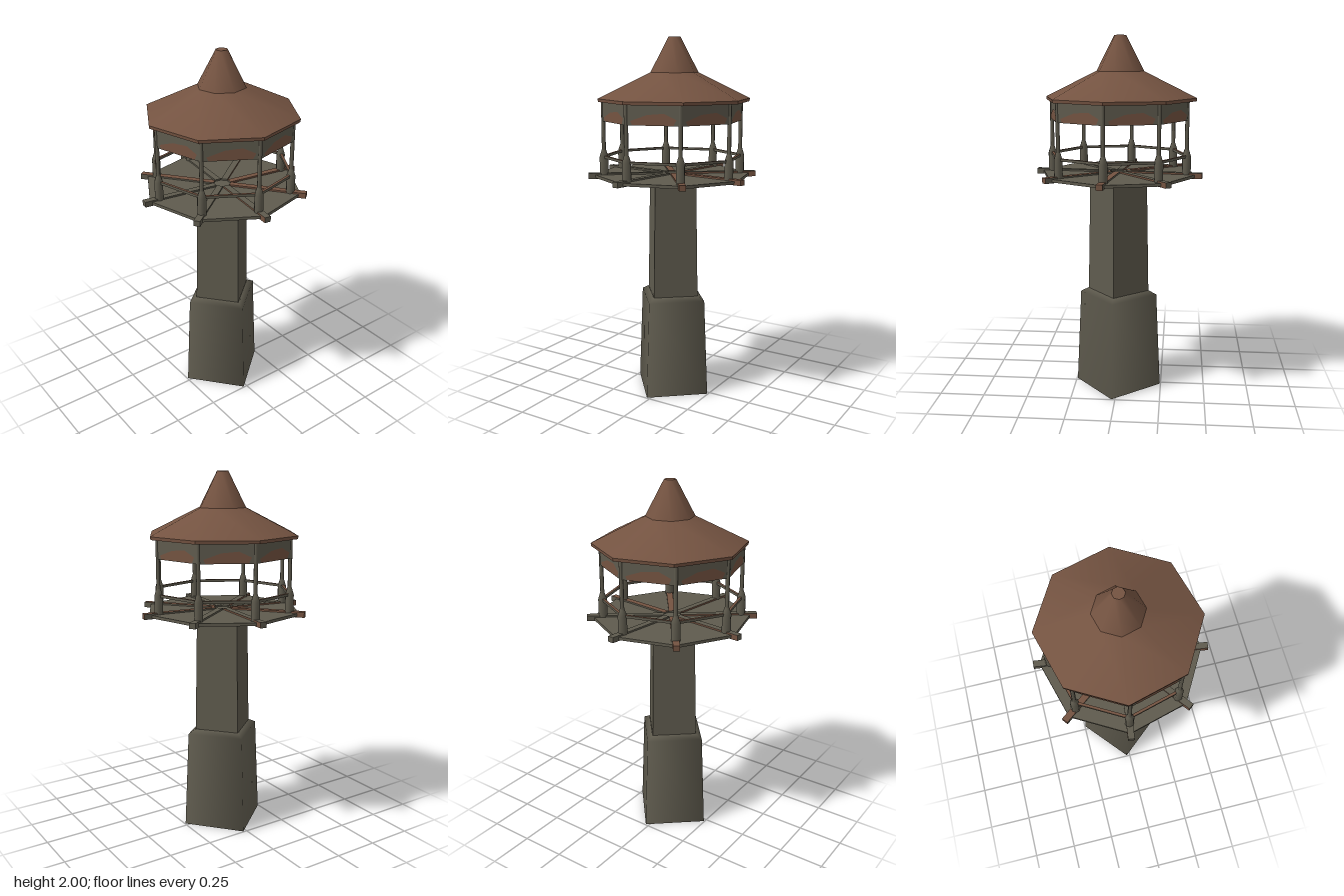
import * as THREE from 'three';

const rad = THREE.MathUtils.degToRad;
const OCT = rad(37.7);      // heading of the first octagon corner
const STEP = Math.PI / 4;

const stone = new THREE.MeshStandardMaterial({ color: 0x5f5b4e, side: THREE.DoubleSide });
stone.name = 'weathered grey';
const rust = new THREE.MeshStandardMaterial({ color: 0x745341, side: THREE.DoubleSide });
rust.name = 'rust brown';

function flat(geometry) {
  const g = geometry.toNonIndexed();
  g.computeVertexNormals();
  return g;
}

function lathe(points, sides, start) {
  return new THREE.LatheGeometry(points.map(p => new THREE.Vector2(...p)), sides, start);
}

function add(parent, name, geometry, material, x = 0, y = 0, z = 0) {
  const mesh = new THREE.Mesh(geometry, material);
  mesh.name = name;
  mesh.position.set(x, y, z);
  parent.add(mesh);
  return mesh;
}

export function createModel() {
  const model = new THREE.Group();
  model.name = 'lookoutTower';

  // Square tapered tower, open at the bottom
  const corner = rad(85.3);
  add(model, 'towerBase', lathe([[0.246, 0], [0.22, 0.55], [0.176, 0.573]], 4, corner), stone);
  add(model, 'towerShaft', flat(lathe([[0.174, 0.57], [0.16, 1.24]], 4, corner)), stone);

  // Octagonal deck
  const deck = new THREE.CylinderGeometry(0.435, 0.435, 0.016, 8, 1, false, OCT);
  add(model, 'deck', flat(deck), stone, 0, 1.248, 0);

  // Eight bays: a beam and post at each corner, a rail and valance patch between
  const postGeometry = lathe(
    [[0.024, 1.25], [0.024, 1.355], [0.013, 1.39], [0.011, 1.395], [0.011, 1.66]], 8, 0);
  const beamGeometry = new THREE.BoxGeometry(0.035, 0.03, 0.423);
  const postRadius = 0.38;
  const apothem = postRadius * Math.cos(STEP / 2);
  const railGeometry = new THREE.BoxGeometry(2 * postRadius * Math.sin(STEP / 2), 0.014, 0.014);
  const patchShape = new THREE.Shape(
    [[-0.11, 0], [0.11, 0], [0.125, 0.03], [0.06, 0.06], [-0.03, 0.052], [-0.12, 0.02]]
      .map(p => new THREE.Vector2(...p)));
  const patchGeometry = new THREE.ShapeGeometry(patchShape);

  for (let i = 0; i < 8; i++) {
    const spoke = new THREE.Group();
    spoke.name = 'cornerSupport';
    spoke.rotation.y = OCT + i * STEP;
    model.add(spoke);
    const top = [2, 3, 6].includes(i) ? rust : stone;
    add(spoke, 'deckBeam', beamGeometry, [stone, rust, top, rust, top, stone], 0, 1.25, 0.2565);
    add(spoke, 'post', postGeometry, stone, 0, 0, postRadius);

    const bay = new THREE.Group();
    bay.name = 'bay';
    bay.rotation.y = OCT + (i + 0.5) * STEP;
    model.add(bay);
    add(bay, 'rail', railGeometry, [stone, stone, rust, stone, stone, stone], 0, 1.355, apothem);
    add(bay, 'valancePatch', patchGeometry, rust, 0, 1.552, apothem + 0.008);
  }

  // Valance below the eaves, lined in brown
  const ring = r => flat(new THREE.CylinderGeometry(r, r, 0.11, 8, 1, true, OCT));
  add(model, 'valance', ring(0.387), stone, 0, 1.605, 0);
  add(model, 'valanceLining', ring(0.377), rust, 0, 1.605, 0);

  // Roof: eave, shallow skirt, steep spire with a flat cap
  const roof = new THREE.Group();
  roof.name = 'roof';
  roof.position.set(-0.01, 0, -0.006);
  model.add(roof);
  add(roof, 'ceiling', flat(lathe([[0, 1.653], [0.418, 1.653]], 8, OCT)), stone);
  add(roof, 'eave', flat(lathe([[0.418, 1.653], [0.42, 1.67]], 8, OCT)), rust);
  add(roof, 'roofSkirt', lathe([[0.42, 1.67], [0.132, 1.81]], 8, OCT), rust);
  add(roof, 'spire', lathe([[0.132, 1.81], [0.032, 2]], 8, OCT), rust);
  add(roof, 'spireCap', flat(lathe([[0.032, 2], [0, 2]], 8, OCT)), rust);

  return model;
}
